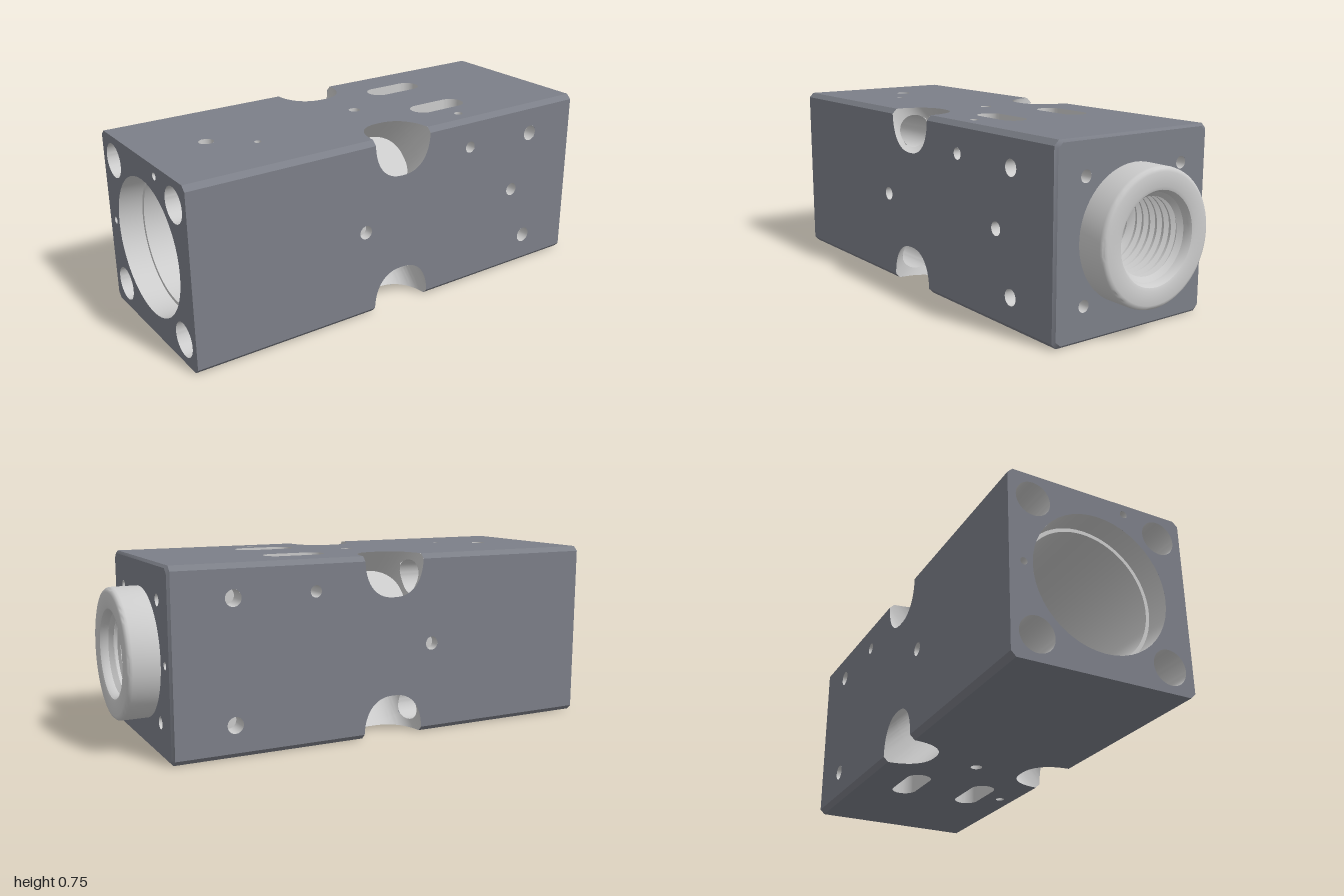
import * as THREE from 'three';
import { toCreasedNormals } from 'three/addons/utils/BufferGeometryUtils.js';

const H = 0.3725;                       // half the block's height and depth
const C = 0.02;                         // chamfer of the long edges
const X0 = -1, X1 = 0.875;              // block ends
const PX = -0.065, PW = 0.135, PV = 0.12, PD = 0.245, N = 2.4; // corner pocket
const BOLT_R = 0.07, BOLT_U = 0.144;    // bolt hole, depth measured from the edge
const R2 = Math.SQRT2;

const dark = new THREE.MeshStandardMaterial({ color: 0x7c7f88, side: THREE.DoubleSide });
const grey = new THREE.MeshStandardMaterial({ color: 0xcccccc, side: THREE.DoubleSide });

function add(parent, name, geo, mat) {
  const m = new THREE.Mesh(geo, mat);
  m.name = name;
  parent.add(m);
  return m;
}

// Surface from a rule f(s, t) -> [x, y, z], with s and t in 0..1
function grid(ns, nt, f) {
  const pos = [], idx = [];
  for (let i = 0; i <= ns; i++) for (let j = 0; j <= nt; j++) pos.push(...f(i / ns, j / nt));
  for (let i = 0; i < ns; i++) for (let j = 0; j < nt; j++) {
    const a = i * (nt + 1) + j, b = a + nt + 1;
    idx.push(a, b, a + 1, b, b + 1, a + 1);
  }
  const g = new THREE.BufferGeometry();
  g.setAttribute('position', new THREE.Float32BufferAttribute(pos, 3));
  g.setIndex(idx);
  return toCreasedNormals(g, 0.6);
}

const circle = (x, y, r) => new THREE.Path().absarc(x, y, r, 0, Math.PI * 2, true);

function slot(x, y, half, r) {
  const p = new THREE.Path();
  p.absarc(x + half, y, r, -Math.PI / 2, Math.PI / 2, false);
  p.absarc(x - half, y, r, Math.PI / 2, Math.PI * 1.5, false);
  p.closePath();
  return p;
}

// Rounded pocket section: [offset along x, offset across the edge]
function section(a) {
  const c = Math.cos(a), s = Math.sin(a);
  return [PW * Math.sign(c) * Math.abs(c) ** (2 / N), PV * Math.sign(s) * Math.abs(s) ** (2 / N)];
}
// Pocket coordinates (u down the diagonal, v across it) to a side's own frame
const diag = (x, u, v) => [x, H - (u + v) / R2, H - (u - v) / R2];

// One long face with two edge notches, its holes and slots
function buildSide(parent, holes, slots) {
  const e = H - C, notch = [];
  for (let i = 0; i <= 40; i++) {
    const [x, v] = section(Math.PI * i / 40);
    if (v * R2 > C) notch.push([PX + x, H - v * R2]);   // runs from +x to -x
  }
  notch.unshift([PX + PW, e]);
  notch.push([PX - PW, e]);
  const xr = X1 - 0.01;
  const outline = [[X0, -e], ...notch.map(([x, b]) => [x, -b]).reverse(), [xr, -e], [xr, e], ...notch, [X0, e]];
  const shape = new THREE.Shape(outline.map(p => new THREE.Vector2(...p)));
  for (const [x, b, r] of holes) shape.holes.push(circle(x, b, r));
  for (const s of slots) shape.holes.push(slot(...s));
  add(parent, 'sidePanel', new THREE.ShapeGeometry(shape, 16), dark).position.z = H;

  for (const [x, b, r, depth, open] of holes) {
    if (!depth) continue;
    const g = new THREE.CylinderGeometry(r, r, depth, 24, 1, true).rotateX(Math.PI / 2);
    add(parent, 'holeWall', g, grey).position.set(x, b, H - depth / 2);
    if (!open) add(parent, 'holeFloor', new THREE.CircleGeometry(r, 24), grey).position.set(x, b, H - depth);
  }
  for (const s of slots) {
    const pts = slot(...s).getPoints(12);
    const n = pts.length - 1;
    add(parent, 'slotWall', grid(n, 1, (a, t) => {
      const p = pts[Math.round(a * n)];
      return [p.x, p.y, H - 0.095 * t];
    }), grey);
  }
  // chamfer on the upper edge of this side, broken by the pocket
  for (const [a, b] of [[X0, PX - PW], [PX + PW, xr]])
    add(parent, 'edgeChamfer', grid(1, 1, (s, t) => [a + (b - a) * s, e + C * t, H - C * t]), dark);
}

// Diagonal pocket in one long edge, with the bolt hole leading to it
function buildPocket(parent) {
  const gap = (x, v) => (x < 0 && Math.abs(v) < BOLT_R ? Math.sqrt(BOLT_R ** 2 - v * v) : 0);
  for (const lower of [true, false]) {
    add(parent, 'pocketWall', grid(96, 2, (s, t) => {
      const [x, v] = section(s * Math.PI * 2), h = gap(x, v);
      const from = lower ? Math.max(Math.abs(v), C / R2) : BOLT_U + h;
      const to = lower ? BOLT_U - h : PD;
      return diag(PX + x, from + (to - from) * t, v);
    }), grey);
  }
  add(parent, 'pocketFloor', grid(64, 1, (s, t) => {
    const [x, v] = section(s * Math.PI * 2);
    return diag(PX + x * t, PD, v * t);
  }), grey);
  add(parent, 'boltHole', grid(48, 1, (s, t) => {
    const a = s * Math.PI * 2, v = BOLT_R * Math.cos(a);
    const end = PX - PW * (1 - (Math.abs(v) / PV) ** N) ** (1 / N);
    return diag(X0 + (end - X0) * t, BOLT_U + BOLT_R * Math.sin(a), v);
  }), grey);
}

// Octagonal outline of the block's section
function octagon(h) {
  const e = h - C;
  return [[h, -e], [h, e], [e, h], [-e, h], [-h, e], [-h, -e], [-e, -h], [e, -h]];
}
// End plate; the shape's x is the model's -z
function buildEnd(parent, name, x, h, holes) {
  const shape = new THREE.Shape(octagon(h).map(p => new THREE.Vector2(...p)));
  for (const c of holes) shape.holes.push(circle(...c));
  add(parent, name, new THREE.ShapeGeometry(shape, 24).rotateY(Math.PI / 2), dark).position.x = x;
}

// Turned part about the x axis from [x, radius] points
function turned(profile, start = 0, sweep = Math.PI * 2) {
  const g = new THREE.LatheGeometry(profile.map(([x, r]) => new THREE.Vector2(r, x)), 72, start, sweep);
  return toCreasedNormals(g.rotateZ(-Math.PI / 2), 0.6);
}

export function createModel() {
  const model = new THREE.Group();
  model.name = 'machinedBlock';
  const body = new THREE.Group();
  body.name = 'body';
  body.position.y = H;
  model.add(body);

  // four long sides: holes are [x, across, radius, depth, open]
  const slots = [[0.28, 0.155, 0.077, 0.053], [0.28, -0.155, 0.077, 0.053]];
  const corner = [[0.625, 0.2425, 0.033, 0.08], [0.625, -0.2425, 0.033, 0.08], [-0.245, 0, 0.028, 0.04]];
  const sides = [
    ['frontSide', 0, [...corner, [0.535, 0, 0.028, 0.07], [0.285, 0.2475, 0.024, 0.06, true]], []],
    ['topSide', -Math.PI / 2, [[-0.73, 0, 0.03, 0.06], [-0.57, -0.115, 0.014, 0.05],
      [-0.04, 0, 0.024, 0.06], [0.285, -0.29, 0.018, 0.09, true]], slots],
    ['backSide', Math.PI, [...corner, [0.285, -0.2475, 0.024, 0.16, true]], []],
    ['bottomSide', Math.PI / 2, [[-0.04, 0, 0.024, 0.06], [0.285, 0.29, 0.018, 0.58, true]], slots],
  ];
  for (const [name, turn, holes, cuts] of sides) {
    const side = new THREE.Group();
    side.name = name;
    side.rotation.x = turn;
    buildSide(side, holes, cuts);
    buildPocket(side);
    body.add(side);
  }

  // end plates
  const four = (d, r) => [[d, d, r], [d, -d, r], [-d, d, r], [-d, -d, r]];
  const bc = H - BOLT_U / R2;
  buildEnd(body, 'leftEnd', X0, H, [[0, 0, 0.28], ...four(bc, BOLT_R), [0.315, 0, 0.014], [-0.12, 0.33, 0.015]]);
  buildEnd(body, 'rightEnd', X1, H - 0.01, [[0, 0, 0.22], ...four(0.235, 0.024), [0.315, 0, 0.016]]);
  const rimA = octagon(H), rimB = octagon(H - 0.01);
  add(body, 'endChamfer', grid(8, 1, (s, t) => {
    const [a, b] = (t ? rimB : rimA)[Math.round(s * 8) % 8];
    return [X1 - 0.01 + 0.01 * t, b, -a];
  }), dark);

  // holes running along x: [x start, length, y, z, radius, blind]
  const bores = [[X0, X1 - X0, 0, -0.315, 0.015], [X0, 0.1, 0.33, 0.12, 0.015, true]];
  for (const [a, b] of four(0.235)) bores.push([X1 - 0.1, 0.1, a, b, 0.024, true]);
  for (const [x, len, y, z, r, blind] of bores) {
    const g = new THREE.CylinderGeometry(r, r, len, 24, 1, true).rotateZ(Math.PI / 2);
    add(body, 'endHoleWall', g, grey).position.set(x + len / 2, y, z);
    if (!blind) continue;
    const floor = new THREE.CircleGeometry(r, 24).rotateY(Math.PI / 2);
    add(body, 'endHoleFloor', floor, grey).position.set(x < 0 ? x + len : x, y, z);
  }

  // main bore, with the wall left open where the slots break through
  const R = 0.265;
  add(body, 'boreEntry', turned([[X0, 0.28], [-0.9, 0.28], [-0.9, R], [0.14, R]]), grey);
  const gapA = 0.2, gapB = 0.92;
  for (let k = 0; k < 4; k++) {
    const q = k * Math.PI / 2;                       // 0 and PI are the model's front and back
    const half = k % 2 ? gapA : Math.PI / 2 - gapB;
    const ring = turned([[0.14, R], [0.42, R]], q - half, 2 * half);
    add(body, 'boreWall', ring, grey);
  }

  // throat, thread and collar in one turned profile
  const profile = [[0.42, R], [0.6, R], [0.68, 0.14], [0.7, 0.14]];
  for (let i = 0; i < 7; i++) {
    const x = 0.71 + i * 0.035;
    profile.push([x, 0.148], [x + 0.008, 0.166], [x + 0.02, 0.166], [x + 0.028, 0.148]);
  }
  profile.push([0.965, 0.166], [0.985, 0.17], [0.996, 0.178], [1, 0.19], [1, 0.243],
    [0.997, 0.253], [0.99, 0.26], [0.98, 0.262], [X1, 0.262]);
  add(body, 'threadedCollar', turned(profile), grey);
  return model;
}
